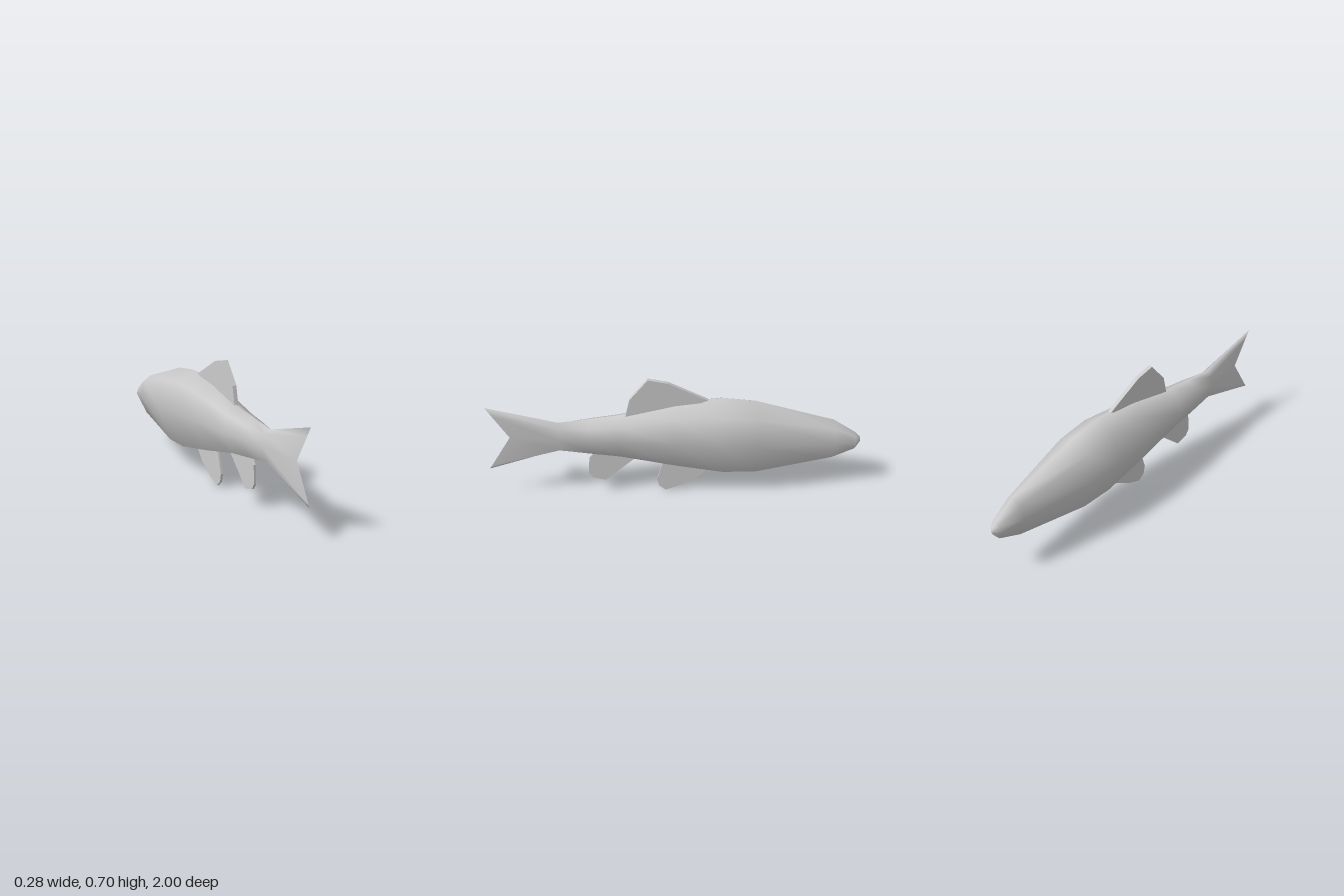
import * as THREE from 'three';

const material = new THREE.MeshStandardMaterial({ color: 0xcccccc, side: THREE.DoubleSide });

// Octagonal section: [share of half width, share of height], from the back round to the belly and up again
const SECTION = [[0, 1], [0.73, 0.86], [1, 0.505], [0.44, 0.035], [0, 0], [-0.44, 0.035], [-1, 0.505], [-0.73, 0.86]];

// Body stations: z, top, bottom, half width
const STATIONS = [
  [-1.0, 0.305, 0.275, 0.01],
  [-0.972, 0.335, 0.238, 0.038],
  [-0.85, 0.42, 0.188, 0.063],
  [-0.43, 0.552, 0.125, 0.138],
  [-0.25, 0.578, 0.13, 0.142],
  [0, 0.552, 0.178, 0.122],
  [0.3, 0.488, 0.245, 0.09],
  [0.46, 0.471, 0.266, 0.072],
  [0.62, 0.455, 0.285, 0.042],
];

// Body and forked tail as one smooth skin
function bodyGeometry() {
  const n = SECTION.length;
  const positions = [];
  const index = [];
  for (const [z, top, bottom, w] of STATIONS) {
    for (const [sx, sy] of SECTION) positions.push(sx * w, bottom + sy * (top - bottom), z);
  }
  // Tail edge: the last section closes to a thin edge, notched in the middle
  const tailTop = 0.56, tailBottom = 0.175;
  for (const [, sy] of SECTION) {
    const notch = 1 - Math.abs(sy - 0.505) / 0.505;
    positions.push(0, tailBottom + sy * (tailTop - tailBottom), 1 - 0.12 * Math.max(0, notch));
  }
  for (let i = 0; i < STATIONS.length; i++) {
    for (let j = 0; j < n; j++) {
      const a = i * n + j, b = i * n + (j + 1) % n;
      index.push(a, a + n, b, b, a + n, b + n);
    }
  }
  // Nose cap
  const tip = positions.length / 3;
  positions.push(0, 0.29, -1);
  for (let j = 0; j < n; j++) index.push(tip, j, (j + 1) % n);

  const geometry = new THREE.BufferGeometry();
  geometry.setAttribute('position', new THREE.Float32BufferAttribute(positions, 3));
  geometry.setIndex(index);
  geometry.computeVertexNormals();
  return geometry;
}

// Flat fin cut from an outline of [z, y] points
function fin(name, outline, thickness) {
  const shape = new THREE.Shape(outline.map(([z, y]) => new THREE.Vector2(-z, y)));
  const geometry = new THREE.ExtrudeGeometry(shape, { depth: thickness, bevelEnabled: false });
  geometry.rotateY(Math.PI / 2);
  geometry.translate(0.003 - thickness / 2, 0, 0);
  const mesh = new THREE.Mesh(geometry, material);
  mesh.name = name;
  return mesh;
}

export function createModel() {
  const fish = new THREE.Group();
  fish.name = 'fish';

  const body = new THREE.Mesh(bodyGeometry(), material);
  body.name = 'bodyAndTail';
  fish.add(body);

  fish.add(fin('dorsalFin', [
    [0.265, 0.485], [0.24, 0.59], [0.145, 0.705], [0.04, 0.682], [-0.17, 0.572], [0, 0.51],
  ], 0.022));
  fish.add(fin('pelvicFin', [
    [0.06, 0.21], [0.1, 0.075], [0.09, 0.03], [0.055, 0], [-0.03, 0.03], [-0.135, 0.09], [-0.185, 0.145],
  ], 0.012));
  fish.add(fin('analFin', [
    [0.42, 0.28], [0.465, 0.23], [0.47, 0.13], [0.45, 0.1], [0.38, 0.08], [0.2, 0.235],
  ], 0.012));

  return fish;
}
